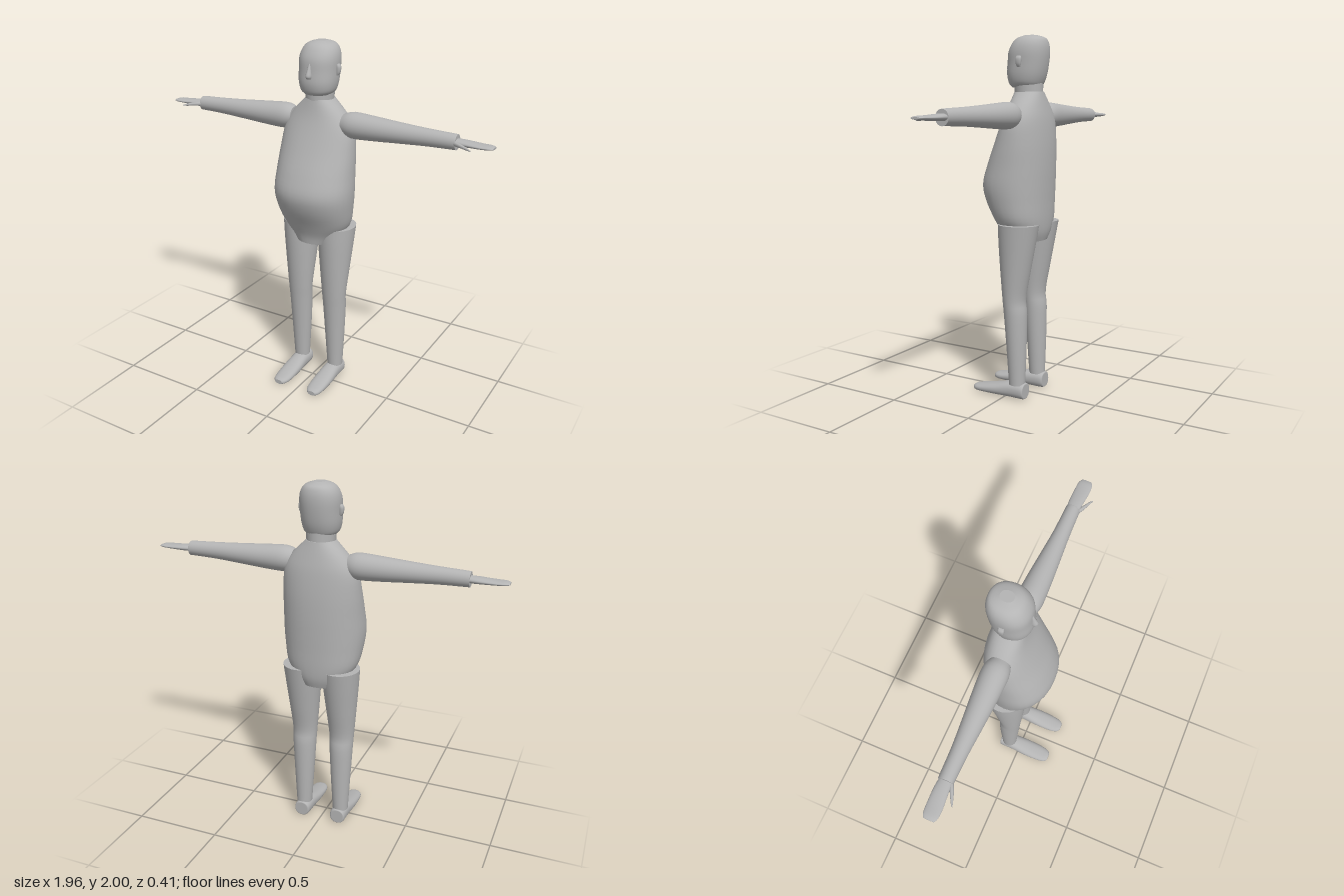
import * as THREE from 'three';

// Smooth loft along an axis. Each ring: [position, minA, maxA, minB, maxB],
// where (A, B) is (z, x) for axis y, (y, z) for axis x and (x, y) for axis z.
function loft(axis, rings, { power = 2, sub = 4, sides = 32 } = {}) {
  const lerpRing = (t) => {
    const i = Math.min(Math.floor(t), rings.length - 2), f = t - i;
    const at = (n) => rings[Math.max(0, Math.min(rings.length - 1, n))];
    return rings[0].map((_, k) => {
      const p0 = at(i - 1)[k], p1 = at(i)[k], p2 = at(i + 1)[k], p3 = at(i + 2)[k];
      const m1 = (p2 - p0) / 2, m2 = (p3 - p1) / 2;
      return p1 + f * m1 + f * f * (3 * (p2 - p1) - 2 * m1 - m2) + f ** 3 * (2 * (p1 - p2) + m1 + m2);
    });
  };
  const pos = [], index = [];
  const put = (p, a, b) => {
    if (axis === 'y') pos.push(b, p, a);
    else if (axis === 'x') pos.push(p, a, b);
    else pos.push(a, b, p);
  };
  const round = (v) => Math.sign(v) * Math.abs(v) ** (2 / power);
  const putRing = ([p, a0, a1, b0, b1]) => {
    for (let j = 0; j < sides; j++) {
      const t = (j / sides) * Math.PI * 2;
      put(p, (a0 + a1) / 2 + ((a1 - a0) / 2) * round(Math.cos(t)),
        (b0 + b1) / 2 + ((b1 - b0) / 2) * round(Math.sin(t)));
    }
  };
  const count = (rings.length - 1) * sub;
  for (let i = 0; i <= count; i++) putRing(lerpRing(i / sub));
  for (let i = 0; i < count; i++) {
    for (let j = 0; j < sides; j++) {
      const a = i * sides + j, b = i * sides + ((j + 1) % sides);
      index.push(a, b, b + sides, a, b + sides, a + sides);
    }
  }
  // flat end caps with their own vertices, so their edges stay crisp
  for (const end of [0, 1]) {
    const r = rings[end ? rings.length - 1 : 0], base = pos.length / 3;
    putRing(r);
    put(r[0], (r[1] + r[2]) / 2, (r[3] + r[4]) / 2);
    for (let j = 0; j < sides; j++) {
      const a = base + j, b = base + ((j + 1) % sides), c = base + sides;
      if (end) index.push(c, a, b);
      else index.push(c, b, a);
    }
  }
  const geo = new THREE.BufferGeometry();
  geo.setAttribute('position', new THREE.Float32BufferAttribute(pos, 3));
  geo.setIndex(index);
  geo.computeVertexNormals();
  return geo;
}

// Mirrored copy across x = 0 with the winding corrected
function mirror(geo) {
  const g = geo.clone().scale(-1, 1, 1);
  const ix = g.index.array;
  for (let i = 0; i < ix.length; i += 3) [ix[i], ix[i + 1]] = [ix[i + 1], ix[i]];
  g.computeVertexNormals();
  return g;
}

export function createModel() {
  const group = new THREE.Group();
  const grey = new THREE.MeshStandardMaterial({ color: 0xb4b4b4 });
  grey.name = 'grey';
  const add = (name, geo) => {
    const mesh = new THREE.Mesh(geo, grey);
    mesh.name = name;
    group.add(mesh);
  };
  const addPair = (name, geo) => {
    add('left' + name, geo);
    add('right' + name, mirror(geo));
  };

  // Torso with a round belly and a tapered, flat-bottomed pelvis
  add('torso', loft('y', [
    [0.89, -0.175, 0.055, -0.115, 0.115],
    [0.94, -0.19, 0.065, -0.155, 0.155],
    [1.01, -0.197, 0.095, -0.2, 0.2],
    [1.11, -0.2, 0.145, -0.22, 0.22],
    [1.2, -0.203, 0.165, -0.228, 0.228],
    [1.3, -0.205, 0.137, -0.224, 0.224],
    [1.42, -0.203, 0.087, -0.218, 0.218],
    [1.54, -0.193, 0.04, -0.203, 0.203],
    [1.62, -0.178, 0.015, -0.155, 0.155],
    [1.7, -0.16, 0, -0.075, 0.075],
  ], { power: 2.2 }));

  add('neck', loft('y', [
    [1.66, -0.155, 0, -0.075, 0.075],
    [1.76, -0.155, 0.003, -0.082, 0.082],
  ]));

  add('head', loft('y', [
    [1.725, -0.14, 0.015, -0.07, 0.07],
    [1.745, -0.155, 0.03, -0.092, 0.092],
    [1.79, -0.172, 0.04, -0.104, 0.104],
    [1.85, -0.184, 0.037, -0.107, 0.107],
    [1.91, -0.19, 0.032, -0.108, 0.108],
    [1.955, -0.186, 0.012, -0.097, 0.097],
    [1.985, -0.17, -0.015, -0.072, 0.072],
    [2.0, -0.125, -0.055, -0.03, 0.03],
  ], { power: 2.2 }));

  // Nose widens and projects toward its lower end
  add('nose', loft('y', [
    [1.815, 0.02, 0.05, -0.012, 0.012],
    [1.83, 0.02, 0.062, -0.016, 0.016],
    [1.86, 0.02, 0.05, -0.011, 0.011],
    [1.895, 0.015, 0.035, -0.006, 0.006],
  ], { sides: 12 }));

  addPair('Ear', loft('y', [
    [1.828, -0.085, -0.066, 0.1, 0.113],
    [1.845, -0.09, -0.062, 0.1, 0.122],
    [1.872, -0.093, -0.06, 0.1, 0.124],
    [1.887, -0.088, -0.063, 0.1, 0.116],
  ], { sides: 16, power: 2.6 }));

  // Sleeved arms, tapering to a square-cut cuff
  addPair('Arm', loft('x', [
    [0.155, 1.52, 1.63, -0.125, -0.015],
    [0.21, 1.503, 1.645, -0.142, -0.002],
    [0.33, 1.507, 1.638, -0.137, -0.005],
    [0.48, 1.517, 1.627, -0.124, -0.014],
    [0.63, 1.526, 1.618, -0.112, -0.024],
    [0.77, 1.53, 1.612, -0.108, -0.029],
    [0.79, 1.53, 1.61, -0.107, -0.03],
  ]));

  // Flat hand and a thin thumb that angles forward
  addPair('Hand', loft('x', [
    [0.77, 1.553, 1.59, -0.1, -0.035],
    [0.83, 1.554, 1.588, -0.107, -0.032],
    [0.91, 1.557, 1.582, -0.106, -0.025],
    [0.96, 1.56, 1.58, -0.102, -0.027],
    [0.982, 1.564, 1.574, -0.09, -0.038],
  ]));
  addPair('Thumb', loft('x', [
    [0.77, 1.557, 1.583, -0.06, -0.036],
    [0.82, 1.558, 1.578, -0.034, -0.012],
    [0.86, 1.556, 1.57, -0.012, 0.002],
    [0.885, 1.556, 1.562, 0.004, 0.01],
  ], { sides: 12 }));

  // Legs, cut flat at the hip and the ankle
  addPair('Leg', loft('y', [
    [0.08, -0.117, -0.025, 0.07, 0.16],
    [0.3, -0.123, -0.01, 0.056, 0.172],
    [0.48, -0.124, 0.004, 0.046, 0.181],
    [0.57, -0.116, 0.012, 0.041, 0.185],
    [0.72, -0.143, 0.024, 0.027, 0.198],
    [0.88, -0.174, 0.034, 0.012, 0.212],
    [0.985, -0.194, 0.037, 0.004, 0.22],
  ]));

  // Wedge-shaped feet, rounded in section
  addPair('Foot', loft('z', [
    [-0.125, 0.082, 0.148, 0.008, 0.082],
    [-0.115, 0.067, 0.158, 0, 0.09],
    [-0.035, 0.063, 0.16, 0, 0.09],
    [0.06, 0.059, 0.165, 0, 0.067],
    [0.15, 0.063, 0.161, 0, 0.047],
    [0.19, 0.074, 0.152, 0.002, 0.039],
    [0.207, 0.09, 0.137, 0.006, 0.032],
  ], { power: 2.3 }));

  return group;
}
